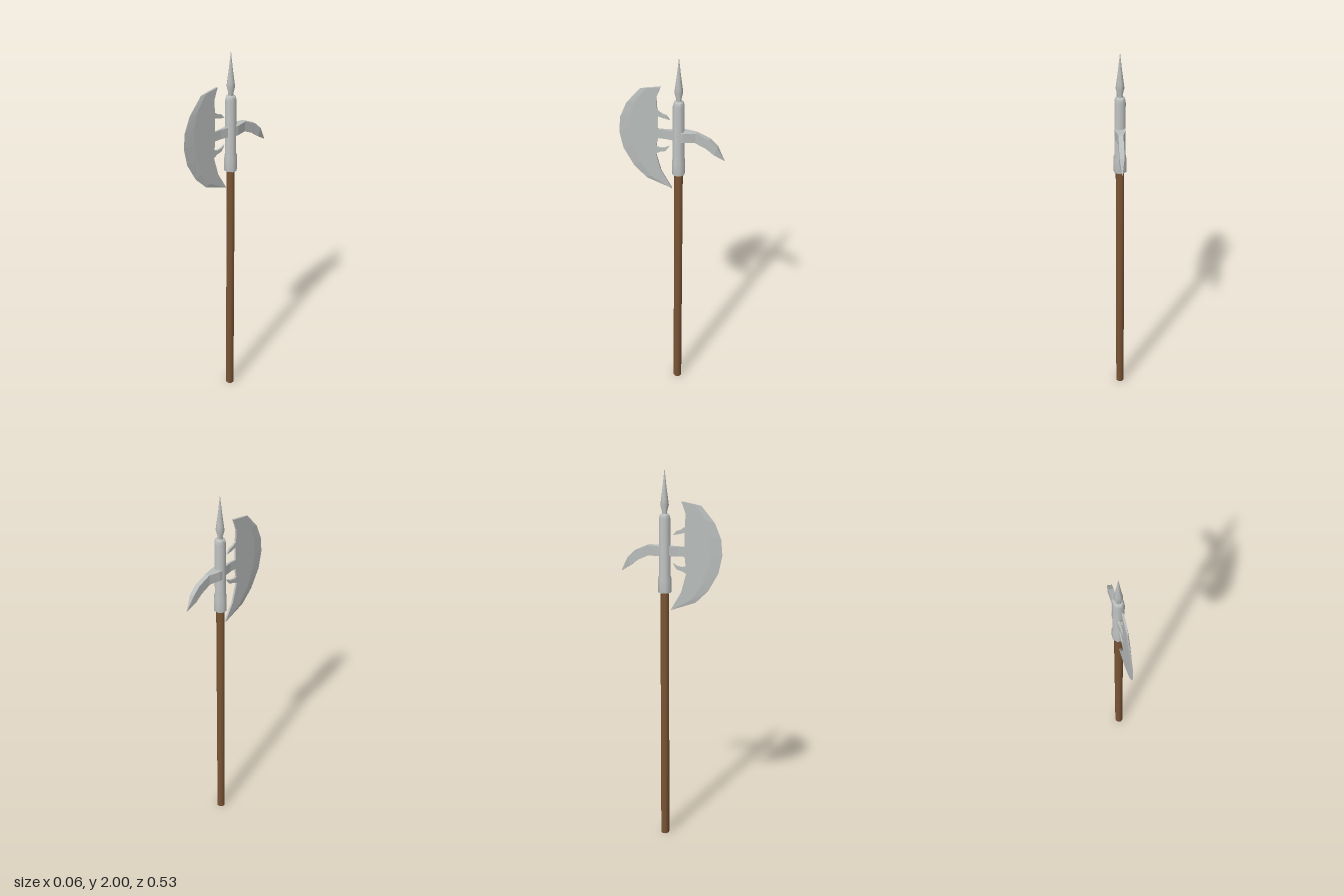
import * as THREE from 'three';
import { mergeVertices, toCreasedNormals } from 'three/addons/utils/BufferGeometryUtils.js';

const SHAFT_Z = -0.032;

// Skin a list of equal-length rings [x, y, z], capped at both ends, with flat faces
function loft(rings) {
  const pos = [];
  const n = rings[0].length;
  const tri = (a, b, c) => pos.push(...a, ...b, ...c);
  for (let s = 0; s < rings.length - 1; s++) {
    const a = rings[s], b = rings[s + 1];
    for (let i = 0; i < n; i++) {
      const j = (i + 1) % n;
      tri(a[i], a[j], b[j]);
      tri(a[i], b[j], b[i]);
    }
  }
  const first = rings[0], last = rings[rings.length - 1];
  for (let i = 1; i < n - 1; i++) {
    tri(first[0], first[i + 1], first[i]);
    tri(last[0], last[i], last[i + 1]);
  }
  const geo = new THREE.BufferGeometry();
  geo.setAttribute('position', new THREE.Float32BufferAttribute(pos, 3));
  geo.computeVertexNormals();
  return geo;
}

// Rectangular bar running backwards; section: [half width, top z, top y, bottom z, bottom y]
const bar = (sections) => loft(sections.map(([w, tz, ty, bz, by]) =>
  [[w, ty, tz], [w, by, bz], [-w, by, bz], [-w, ty, tz]]));

const lathe = (profile, sides) => toCreasedNormals(
  new THREE.LatheGeometry(profile.map(([r, y]) => new THREE.Vector2(r, y)), sides, Math.PI / sides), 0.85);

export function createModel() {
  const group = new THREE.Group();
  const steel = new THREE.MeshStandardMaterial({ color: 0xb9bdbb });
  steel.name = 'steel';
  const wood = new THREE.MeshStandardMaterial({ color: 0x7a5535 });
  wood.name = 'wood';
  const add = (name, geo, mat, z = 0) => {
    const mesh = new THREE.Mesh(geo, mat);
    mesh.name = name;
    mesh.position.z = z;
    group.add(mesh);
  };

  // Octagonal wooden shaft, normals blended over its ends
  let shaft = new THREE.CylinderGeometry(0.0225, 0.0225, 1.4, 8);
  shaft.rotateY(Math.PI / 8).translate(0, 0.7, 0);
  shaft.deleteAttribute('uv');
  shaft.deleteAttribute('normal');
  shaft = mergeVertices(shaft);
  shaft.computeVertexNormals();
  add('shaft', shaft, wood, SHAFT_Z);

  // Socket with a wider collar at its foot
  add('socket', lathe([[0.02, 1.38], [0.0335, 1.38], [0.0335, 1.455], [0.029, 1.47],
    [0.029, 1.755], [0.024, 1.775], [0.012, 1.782]], 8), steel, SHAFT_Z);

  // Top spike
  add('spike', lathe([[0.015, 1.77], [0.0125, 1.79], [0.021, 1.825], [0.018, 1.85],
    [0.009, 1.92], [0.0005, 2]], 10), steel, SHAFT_Z);

  // Crescent blade, top to bottom: [outer z, outer y, inner z, inner y]
  const T = 0.005;
  const blade = [
    [0.155, 1.828, 0.055, 1.845], [0.225, 1.745, 0.077, 1.785],
    [0.258, 1.665, 0.073, 1.72], [0.265, 1.585, 0.073, 1.62],
    [0.247, 1.495, 0.073, 1.57], [0.195, 1.4, 0.082, 1.485],
    [0.13, 1.335, 0.055, 1.385], [0.003, 1.288, 0.001, 1.29],
  ];
  add('axeBlade', loft(blade.map(([oz, oy, iz, iy]) => {
    const mz = oz + (iz - oz) * 0.3, my = oy + (iy - oy) * 0.3;
    return [[0, oy, oz], [-T, my, mz], [-T, iy, iz], [T, iy, iz], [T, my, mz]];
  })), steel);

  // Arm joining blade and socket, thickening toward the socket
  add('bladeArm', bar([
    [T, 0.08, 1.62, 0.08, 1.57], [T, 0.035, 1.62, 0.035, 1.57],
    [0.012, -0.008, 1.62, -0.008, 1.57], [0.012, -0.03, 1.62, -0.03, 1.57],
  ]), steel);

  // Small barbs on the inner edge of the blade, in (z, y)
  const barbs = {
    upperBarb: [[0.08, 1.725], [0.05, 1.704], [0.03, 1.698], [0.012, 1.676], [0.045, 1.683], [0.08, 1.693]],
    lowerBarb: [[0.088, 1.525], [0.06, 1.516], [0.035, 1.52], [0.012, 1.532], [0.032, 1.502], [0.06, 1.495], [0.085, 1.48]],
  };
  for (const [name, pts] of Object.entries(barbs)) {
    const shape = new THREE.Shape(pts.map(([z, y]) => new THREE.Vector2(z, y)));
    const geo = new THREE.ExtrudeGeometry(shape, { depth: 2 * T, bevelEnabled: false });
    geo.translate(0, 0, -T).rotateY(-Math.PI / 2);
    add(name, geo, steel);
  }

  // Curved rear beak tapering to a point
  add('rearBeak', bar([
    [0.026, -0.04, 1.62, -0.04, 1.57], [0.026, -0.06, 1.62, -0.06, 1.57],
    [0.012, -0.12, 1.62, -0.115, 1.568], [0.012, -0.187, 1.59, -0.17, 1.542],
    [0.012, -0.225, 1.553, -0.208, 1.512], [0.0005, -0.262, 1.48, -0.26, 1.479],
  ]), steel);

  return group;
}
